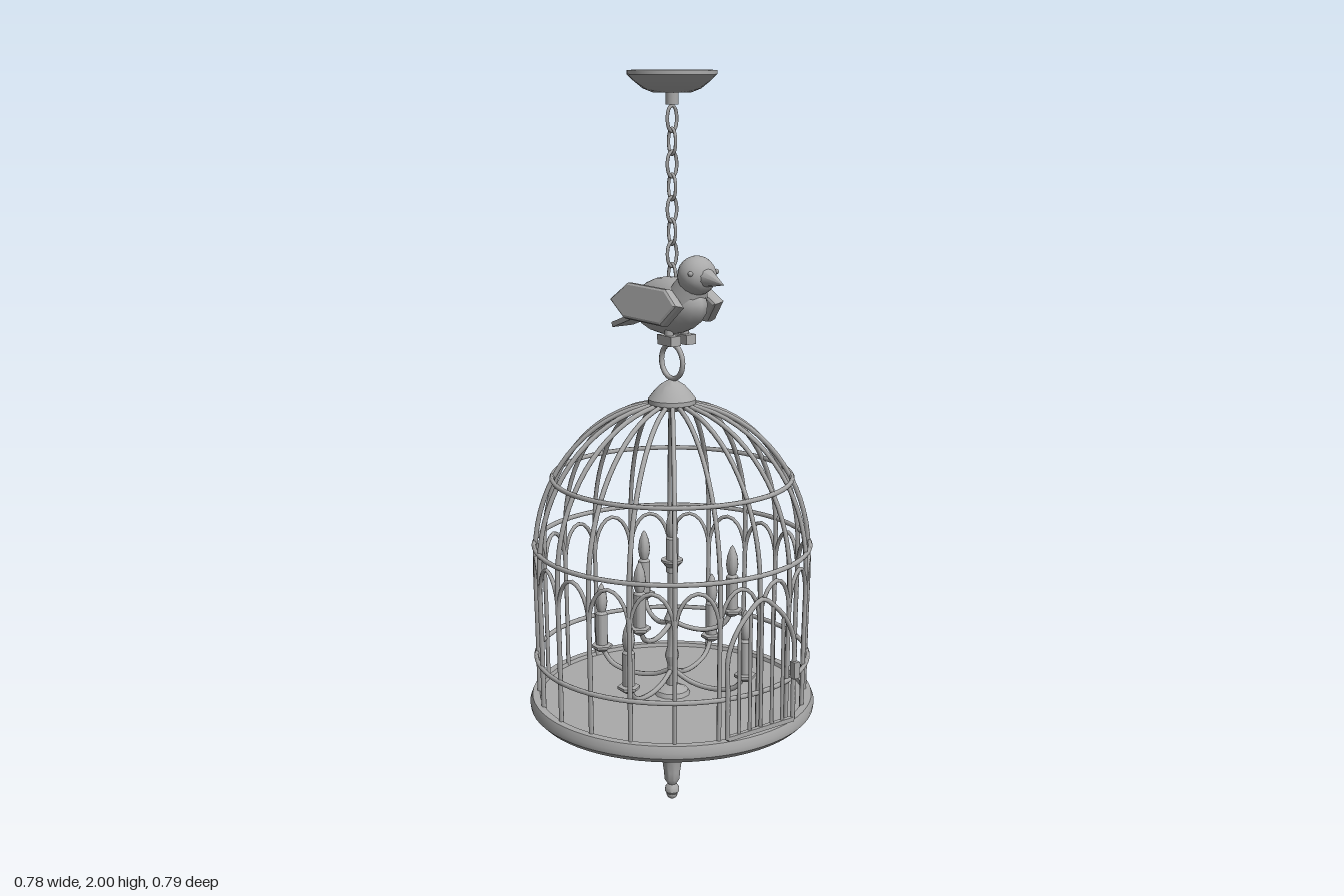
import * as THREE from 'three';
import { toCreasedNormals } from 'three/addons/utils/BufferGeometryUtils.js';

export function createModel() {
  const model = new THREE.Group();
  const grey = new THREE.MeshStandardMaterial({ color: 0xaaaaaa });
  grey.name = 'grey metal';

  const add = (name, geo, parent = model, x = 0, y = 0, z = 0) => {
    const mesh = new THREE.Mesh(geo, grey);
    mesh.name = name;
    mesh.position.set(x, y, z);
    parent.add(mesh);
    return mesh;
  };
  const group = (name) => {
    const g = new THREE.Group();
    g.name = name;
    model.add(g);
    return g;
  };
  // profiles run from bottom to top as [radius, height]
  const lathe = (pts, sides = 32) =>
    toCreasedNormals(new THREE.LatheGeometry(pts.map(p => new THREE.Vector2(...p)), sides), 0.6);
  const tube = (pts, r, segs = 20, closed = false) =>
    new THREE.TubeGeometry(new THREE.CatmullRomCurve3(pts, closed), segs, r, 6, closed);
  const polar = (a, r, y) => new THREE.Vector3(r * Math.sin(a), y, r * Math.cos(a));

  // ceiling plate and its stem
  add('ceilingPlate', lathe([[0, 1.945], [0.05, 1.945], [0.075, 1.955], [0.1, 1.975], [0.115, 1.99], [0.115, 2], [0, 2]]));
  add('chainStem', new THREE.CylinderGeometry(0.017, 0.017, 0.03, 12), model, 0, 1.93, 0);

  // chain of alternating oval links
  const chain = group('chain');
  const oval = [];
  for (let i = 0; i < 12; i++) {
    const a = i / 12 * Math.PI * 2;
    oval.push(new THREE.Vector3(0.015 * Math.cos(a), 0.033 * Math.sin(a), 0));
  }
  const linkGeo = tube(oval, 0.0045, 20, true);
  for (let i = 0; i < 9; i++) {
    add('chainLink', linkGeo, chain, 0, 1.88 - i * 0.0575, 0).rotation.y = i % 2 * Math.PI / 2;
  }

  // hanging ring and crown
  add('hangingRing', new THREE.TorusGeometry(0.046, 0.007, 8, 28), model, 0, 1.252, 0).rotation.y = Math.PI / 2;
  add('crown', lathe([[0, 1.125], [0.045, 1.125], [0.064, 1.14], [0.064, 1.152], [0.052, 1.168], [0.035, 1.187], [0.015, 1.2], [0, 1.205]]));

  // base dish with a raised lip, and the pendant finial below
  add('base', lathe([[0, 0.235], [0.1, 0.24], [0.22, 0.25], [0.33, 0.267], [0.375, 0.28], [0.39, 0.295],
    [0.392, 0.31], [0.385, 0.328], [0.365, 0.328], [0.362, 0.318], [0, 0.318]], 64));
  add('finial', lathe([[0, 0.01], [0.012, 0.012], [0.02, 0.024], [0.019, 0.036], [0.012, 0.046], [0.021, 0.06], [0.023, 0.085],
    [0.028, 0.12], [0.036, 0.155], [0.05, 0.185], [0.075, 0.215], [0.11, 0.24]], 24));
  add('finialTip', new THREE.SphereGeometry(0.016, 12, 8), model, 0, 0.016, 0);

  // cage bars: upright, then curved over into a dome
  const cage = group('cage');
  const N = 20, step = Math.PI * 2 / N;
  for (let i = 0; i < N; i++) {
    const a = i * step;
    const pts = [polar(a, 0.366, 0.32), polar(a, 0.368, 0.5)];
    for (let k = 0; k <= 8; k++) {
      const t = k / 8 * 1.44;
      pts.push(polar(a, 0.371 * Math.cos(t), 0.72 + 0.422 * Math.sin(t)));
    }
    add('cageBar', tube(pts, 0.0065, 28), cage);
    // rounded arch between this bar and the next
    const arch = [];
    for (let k = 0; k <= 8; k++) {
      const t = k / 8 * Math.PI;
      arch.push(polar(a + step / 2 * (1 - Math.cos(t)), 0.371, 0.62 + 0.11 * Math.sin(t)));
    }
    add('cageArch', tube(arch, 0.0055, 14), cage);
  }
  for (const [r, y] of [[0.372, 0.44], [0.373, 0.755], [0.322, 0.94]]) {
    add('cageHoop', new THREE.TorusGeometry(r, 0.0065, 6, 80), cage, 0, y, 0).rotation.x = Math.PI / 2;
  }

  // arched door with bars and a knob
  const door = group('door');
  const frame = [[-0.11, 0.34], [-0.11, 0.46], [-0.11, 0.56], [-0.085, 0.62], [-0.045, 0.665], [0, 0.695],
    [0.045, 0.665], [0.085, 0.62], [0.11, 0.56], [0.11, 0.46], [0.11, 0.34]];
  add('doorFrame', tube(frame.map(p => new THREE.Vector3(p[0], p[1], 0.38)), 0.0065, 48), door);
  add('doorSill', new THREE.BoxGeometry(0.22, 0.012, 0.012), door, 0, 0.342, 0.38);
  for (const [x, top] of [[-0.073, 0.63], [-0.037, 0.67], [0, 0.69], [0.037, 0.67], [0.073, 0.63]]) {
    add('doorBar', new THREE.CylinderGeometry(0.005, 0.005, top - 0.34, 6), door, x, (top + 0.34) / 2, 0.38);
  }
  add('doorKnob', new THREE.BoxGeometry(0.018, 0.045, 0.018), door, 0.11, 0.48, 0.385);

  // candelabra: centre column, two tiers of curved arms
  const lamp = group('candelabra');
  add('column', lathe([[0.05, 0.318], [0.045, 0.33], [0.016, 0.345], [0.012, 0.4], [0.02, 0.43], [0.012, 0.46], [0.012, 0.51],
    [0.022, 0.535], [0.012, 0.56], [0.012, 0.68], [0.03, 0.7], [0.03, 0.706], [0, 0.706]], 12), lamp);
  const cupGeo = lathe([[0, -0.015], [0.012, -0.012], [0.03, 0], [0.03, 0.007], [0.018, 0.01], [0, 0.01]], 6);
  const candleGeo = lathe([[0.017, 0.005], [0.017, 0.1], [0.01, 0.108], [0, 0.108]], 12);
  const flameGeo = lathe([[0.008, 0.1], [0.014, 0.115], [0.017, 0.135], [0.014, 0.16], [0.006, 0.182], [0, 0.19]], 12);
  const candle = (x, y, z) => {
    add('candleCup', cupGeo, lamp, x, y, z);
    add('candle', candleGeo, lamp, x, y, z);
    add('flameBulb', flameGeo, lamp, x, y, z);
  };
  const arm = (x, z, root, dip, end) => {
    const at = (f, y) => new THREE.Vector3(x * f, y, z * f);
    add('candleArm', tube([at(0, root), at(0.25, dip + 0.008), at(0.55, dip), at(0.85, dip + 0.015), at(1, end)], 0.007), lamp);
    candle(x, end, z);
  };
  for (const [x, z] of [[-0.09, -0.21], [0.21, -0.09], [-0.21, 0.088], [0.09, 0.207]]) arm(x, z, 0.39, 0.355, 0.41);
  for (const [x, z] of [[-0.155, 0.063], [0.132, 0.097], [0.025, -0.163]]) arm(x, z, 0.53, 0.503, 0.555);
  add('centreCandle', candleGeo, lamp, 0, 0.665, 0);
  add('centreFlame', flameGeo, lamp, 0, 0.66, 0);

  // bird perched on the ring
  const bird = group('bird');
  const body = add('birdBody', new THREE.SphereGeometry(1, 16, 10), bird, 0, 1.4, -0.01);
  body.scale.set(0.066, 0.076, 0.14);
  body.rotation.x = -0.12;
  const neck = add('birdNeck', new THREE.CylinderGeometry(0.036, 0.055, 0.08, 14), bird, 0, 1.455, 0.08);
  neck.rotation.x = 0.5;
  add('birdHead', new THREE.SphereGeometry(0.051, 16, 12), bird, 0, 1.49, 0.105);
  const beak = add('birdBeak', new THREE.ConeGeometry(0.026, 0.075, 10), bird, 0, 1.483, 0.179);
  beak.rotation.x = Math.PI / 2 + 0.15;
  const tail = add('birdTail', new THREE.BoxGeometry(0.07, 0.014, 0.15), bird, 0, 1.35, -0.155);
  tail.rotation.x = -0.36;

  const wingShape = new THREE.Shape([[0.11, 1.415], [0.06, 1.447], [-0.1, 1.447], [-0.158, 1.402], [-0.09, 1.367], [0.065, 1.367]]
    .map(p => new THREE.Vector2(p[0], p[1] - 1.41)));
  const wingGeo = new THREE.ExtrudeGeometry(wingShape,
    { depth: 0.01, bevelThickness: 0.012, bevelSize: 0.008, bevelSegments: 2 });
  wingGeo.translate(0, 0, -0.005).rotateY(-Math.PI / 2);
  for (const s of [-1, 1]) {
    const wing = add('birdWing', wingGeo, bird, s * 0.066, 1.41, 0);
    wing.rotation.z = s * 0.25;
    add('birdEye', new THREE.SphereGeometry(0.007, 8, 6), bird, s * 0.042, 1.5, 0.132);
    add('birdLeg', new THREE.CylinderGeometry(0.012, 0.012, 0.04, 8), bird, s * 0.025, 1.33, 0.02);
    add('birdFoot', new THREE.BoxGeometry(0.032, 0.026, 0.06), bird, s * 0.025, 1.314, 0.02);
  }
  return model;
}
